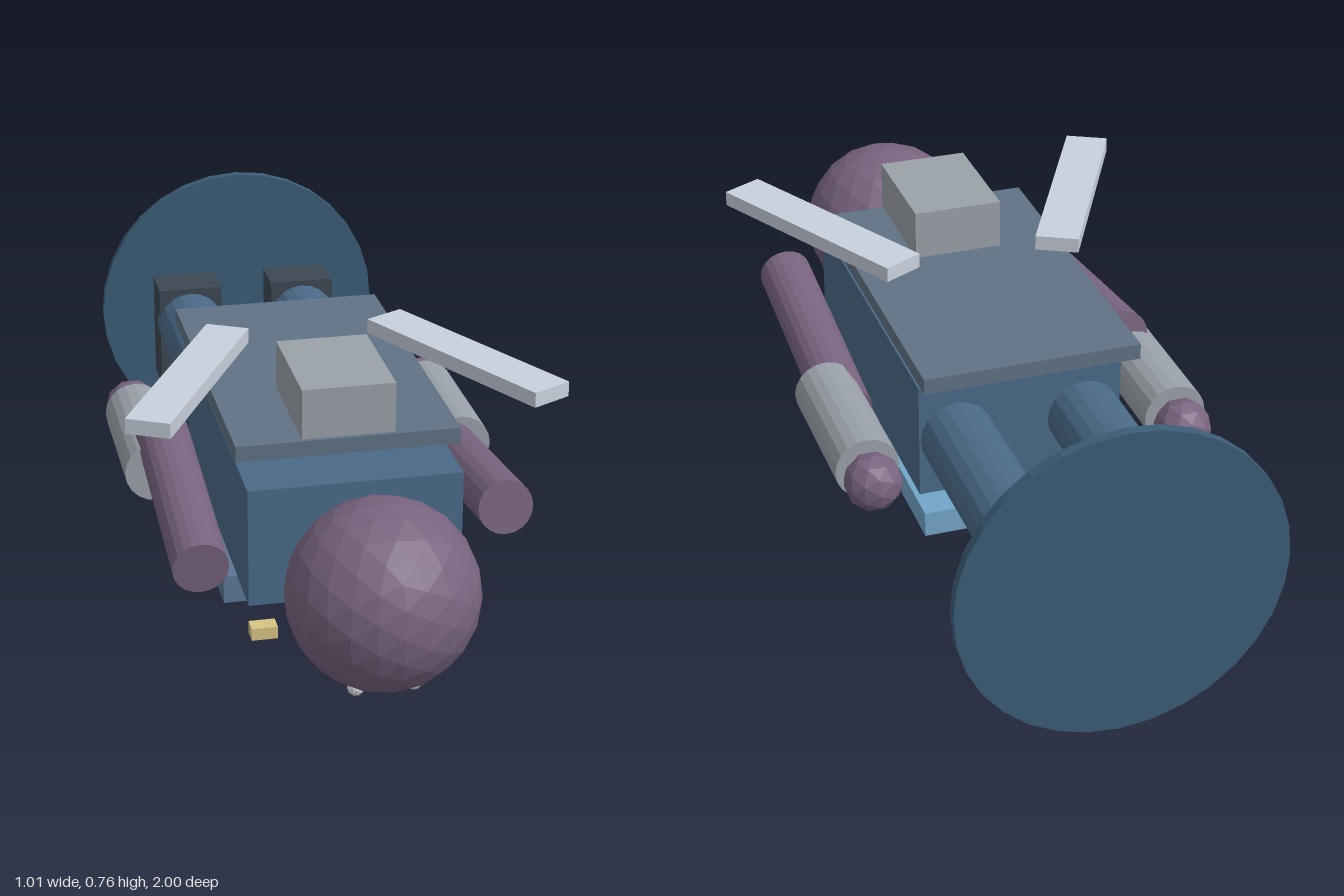
import * as THREE from 'three';

export function createModel() {
  const model = new THREE.Group();
  model.name = 'lyingRobotFigure';

  const mat = (color) => new THREE.MeshStandardMaterial({ color, flatShading: true });
  const blue = mat(0x4a6a88), darkBlue = mat(0x3b5c76), slate = mat(0x5f7285), chest = mat(0x5d7796);
  const purple = mat(0x78637f), lilac = mat(0xa692b4), grey = mat(0x9aa1a8), pale = mat(0xc8d0dc);
  const dark = mat(0x3c4752), sky = mat(0x72a6c8), yellow = mat(0xd8c484), eyeGrey = mat(0xcccccc);

  const add = (name, geometry, material, x, y, z) => {
    const mesh = new THREE.Mesh(geometry, material);
    mesh.name = name;
    mesh.position.set(x, y, z);
    model.add(mesh);
    return mesh;
  };
  const box = (name, w, h, d, material, x, y, z) =>
    add(name, new THREE.BoxGeometry(w, h, d), material, x, y, z);
  // Cylinder lying along z
  const rod = (name, r, length, material, x, y, z, sides = 20) =>
    add(name, new THREE.CylinderGeometry(r, r, length, sides).rotateX(Math.PI / 2), material, x, y, z);
  const ball = (name, r, detail, material, x, y, z) =>
    add(name, new THREE.IcosahedronGeometry(r, detail), material, x, y, z);

  // Base disc behind the feet
  rod('baseDisc', 0.38, 0.025, darkBlue, 0, 0.38, -0.9875, 32);

  // Head, neck and torso
  ball('head', 0.215, 3, purple, 0, 0.382, 0.785);
  rod('neck', 0.07, 0.12, purple, 0, 0.385, 0.57);
  box('torso', 0.495, 0.287, 0.85, blue, 0, 0.383, 0.1);

  // Back plate with pack
  box('backPlate', 0.52, 0.038, 0.86, slate, 0, 0.582, 0.018);
  box('backpack', 0.216, 0.12, 0.295, grey, 0, 0.664, 0.297);

  // Chest plate, emblem ring and core underneath
  box('chestPlate', 0.56, 0.068, 0.36, chest, 0, 0.208, 0.2);
  add('chestRing', new THREE.TorusGeometry(0.165, 0.007, 8, 32).rotateX(Math.PI / 2), purple, 0, 0.147, 0.2);
  ball('chestCore', 0.065, 2, lilac, 0, 0.154, 0.2);

  // Long bar on the left and two small blocks on the right
  box('longBar', 0.115, 0.062, 0.955, sky, 0.188, 0.174, 0.119);
  for (const x of [-0.21, -0.104]) box('smallBlock', 0.061, 0.03, 0.04, yellow, x, 0.161, 0.5);

  for (const s of [-1, 1]) {
    const side = s > 0 ? 'left' : 'right';
    ball(side + 'Eye', 0.02, 1, eyeGrey, s * 0.065, 0.174, 0.815);

    // Wings splay outward towards the head
    box(side + 'Wing', 0.105, 0.036, 0.58, pale, s * 0.326, 0.681, 0.228).rotation.y = s * 0.48;

    // Arms: the upper arms tilt in opposite directions
    rod(side + 'UpperArm', 0.065, 0.59, purple, s * 0.353, 0.381, 0.22).rotation.x = -s * 0.14;
    rod(side + 'Forearm', 0.076, 0.37, grey, s * 0.38, 0.354, -0.166);
    ball(side + 'Hand', 0.069, 1, purple, s * 0.38, 0.348, -0.398);

    // Legs and feet
    rod(side + 'Leg', 0.088, 0.56, blue, s * 0.156, 0.385, -0.596);
    box(side + 'Foot', 0.17, 0.277, 0.117, dark, s * 0.155, 0.348, -0.9);
  }

  return model;
}
